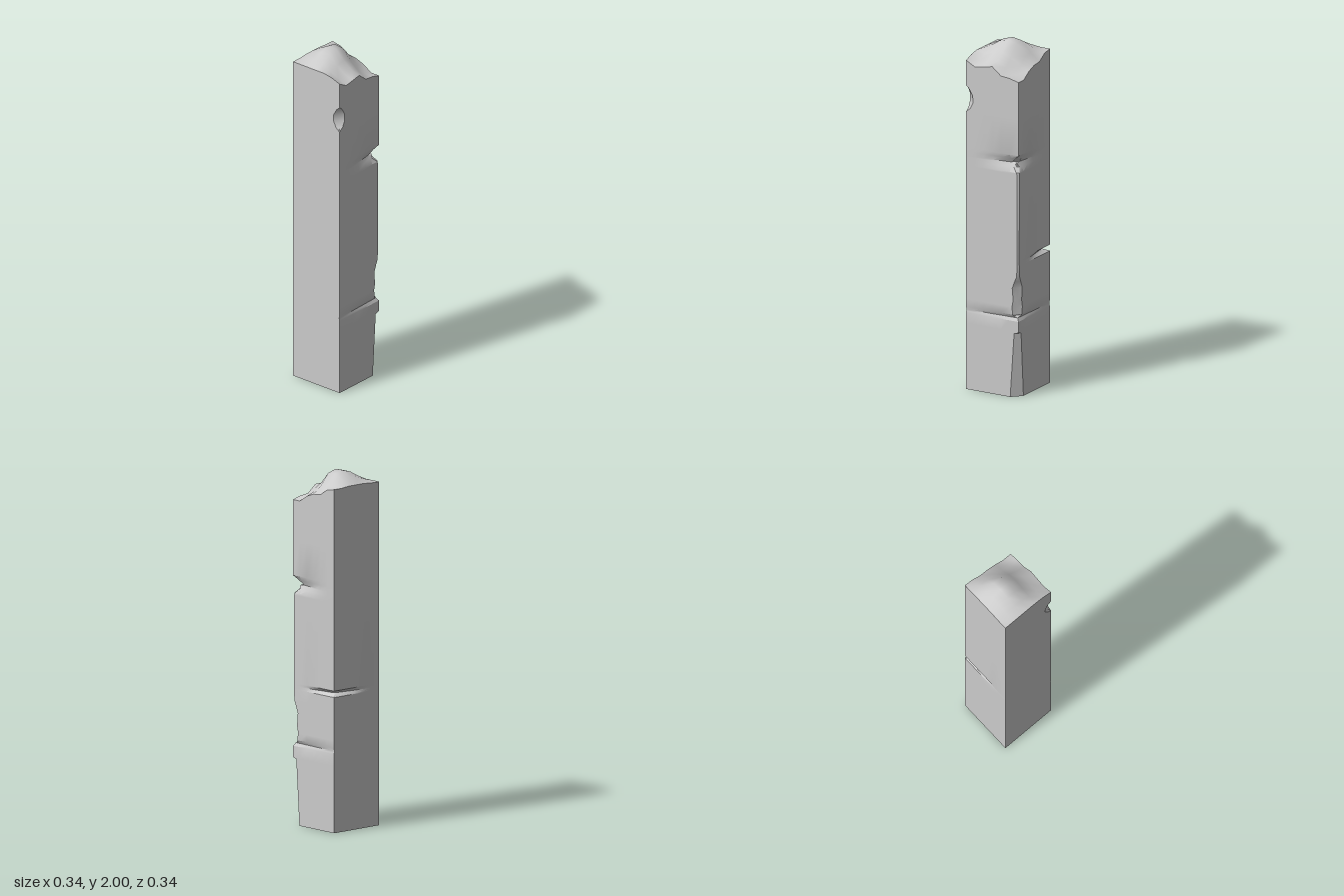
import * as THREE from 'three';
import { toCreasedNormals } from 'three/addons/utils/BufferGeometryUtils.js';

const H = 0.168; // half width of the pillar
const CORNERS = [[1, 1], [1, -1], [-1, -1], [-1, 1]];

// Height of the broken top, rows from back to front, columns from -x to +x
const TOP = [
  [1.93, 1.93, 1.935, 1.935, 1.935, 1.93, 1.93],
  [1.93, 1.945, 1.96, 1.97, 1.96, 1.93, 1.92],
  [1.93, 1.955, 1.985, 2.0, 1.99, 1.93, 1.885],
  [1.93, 1.95, 1.985, 2.0, 1.985, 1.92, 1.88],
  [1.93, 1.92, 1.935, 1.945, 1.925, 1.88, 1.86],
  [1.92, 1.895, 1.9, 1.905, 1.88, 1.845, 1.825],
  [1.9, 1.87, 1.88, 1.89, 1.845, 1.84, 1.825],
];

// Chipped corners: [y, size of cut] going up
const CHIPS = {
  0: [[0, 0.053], [0.37, 0.028], [0.378, 0], [0.46, 0], [0.472, 0.036], [0.52, 0.042], [0.56, 0.034],
    [0.63, 0.04], [0.67, 0.025], [0.7, 0.012], [0.78, 0.008], [1.29, 0.01], [1.345, 0.03], [1.4, 0]],
  3: [[1.605, 0], [1.625, 0.026], [1.66, 0.044], [1.7, 0.042], [1.735, 0.022], [1.755, 0]],
};

// Notches that fade out along both faces beside a corner
const NOTCHES = [
  { corner: 0, y: 0.46, half: 0.018, depth: 0.012, reach: 0.45 }, // ring groove
  { corner: 0, y: 1.35, half: 0.05, depth: 0.035, reach: 0.25 }, // wide gouge
  { corner: 1, y: 0.78, half: 0.018, depth: 0.035, reach: 0.24 }, // thin crack
];

function lookup(table, y) {
  if (!table || y < table[0][0]) return 0;
  for (let i = 1; i < table.length; i++) {
    const [y0, c0] = table[i - 1], [y1, c1] = table[i];
    if (y <= y1) return c0 + (c1 - c0) * (y - y0) / (y1 - y0);
  }
  return 0;
}

function topHeight(x, z) {
  const u = (x / H + 1) * 3, v = (z / H + 1) * 3;
  const i = Math.max(0, Math.min(5, Math.floor(u))), j = Math.max(0, Math.min(5, Math.floor(v)));
  const mix = THREE.MathUtils.lerp;
  return mix(mix(TOP[j][i], TOP[j][i + 1], u - i), mix(TOP[j + 1][i], TOP[j + 1][i + 1], u - i), v - j);
}

// One horizontal outline of the shaft: 8 points per side
function ring(y, isTop) {
  const cut = CORNERS.map((_, k) => Math.max(0.003, lookup(CHIPS[k], y)));
  const points = [];
  CORNERS.forEach(([ax, az], k) => {
    const n = (k + 1) % 4, [bx, bz] = CORNERS[n];
    const c = lookup(CHIPS[k], y) / 2;
    points.push([ax * (H - c), az * (H - c)]);
    const stops = [cut[k] / (2 * H), 1 / 6, 2 / 6, 3 / 6, 4 / 6, 5 / 6, 1 - cut[n] / (2 * H)];
    for (const t of stops) points.push([H * (ax + (bx - ax) * t), H * (az + (bz - az) * t)]);
  });
  return points.map(([x, z]) => {
    let px = x, pz = z;
    for (const d of NOTCHES) {
      const [sx, sz] = CORNERS[d.corner];
      const away = Math.abs(x - sx * H) + Math.abs(z - sz * H);
      const push = d.depth * Math.max(0, 1 - away / d.reach) * Math.max(0, 1 - Math.abs(y - d.y) / d.half);
      if (x * sx > H - 0.03) px -= sx * push;
      if (z * sz > H - 0.03) pz -= sz * push;
    }
    return [px, isTop ? topHeight(x, z) : y, pz];
  });
}

function buildShaft() {
  const levels = new Set([0, 1.78]);
  Object.values(CHIPS).flat().forEach(([y]) => levels.add(y));
  NOTCHES.forEach(d => [-1, -0.5, 0, 0.5, 1].forEach(s => levels.add(+(d.y + s * d.half).toFixed(4))));
  const rings = [...levels].sort((a, b) => a - b).map(y => ring(y, false));
  rings.push(ring(1.9, true));
  const n = rings[0].length, index = [];
  for (let j = 0; j < rings.length - 1; j++) {
    for (let i = 0; i < n; i++) {
      const a = j * n + i, b = j * n + (i + 1) % n;
      index.push(a, b, b + n, a, b + n, a + n);
    }
  }
  const geometry = new THREE.BufferGeometry();
  geometry.setAttribute('position', new THREE.Float32BufferAttribute(rings.flat(2), 3));
  geometry.setIndex(index);
  return toCreasedNormals(geometry, 0.5);
}

function buildTop() {
  const geometry = new THREE.PlaneGeometry(2 * H, 2 * H, 6, 6).rotateX(-Math.PI / 2);
  const p = geometry.attributes.position;
  for (let i = 0; i < p.count; i++) p.setY(i, topHeight(p.getX(i), p.getZ(i)));
  geometry.computeVertexNormals();
  return geometry;
}

export function createModel() {
  const group = new THREE.Group();
  group.name = 'brokenPillar';
  const material = new THREE.MeshStandardMaterial({ color: 0xcccccc, side: THREE.DoubleSide });

  // Chipped square shaft, open underneath
  const shaft = new THREE.Mesh(buildShaft(), material);
  shaft.name = 'shaft';

  // Rough broken top surface
  const top = new THREE.Mesh(buildTop(), material);
  top.name = 'brokenTop';

  group.add(shaft, top);
  return group;
}
